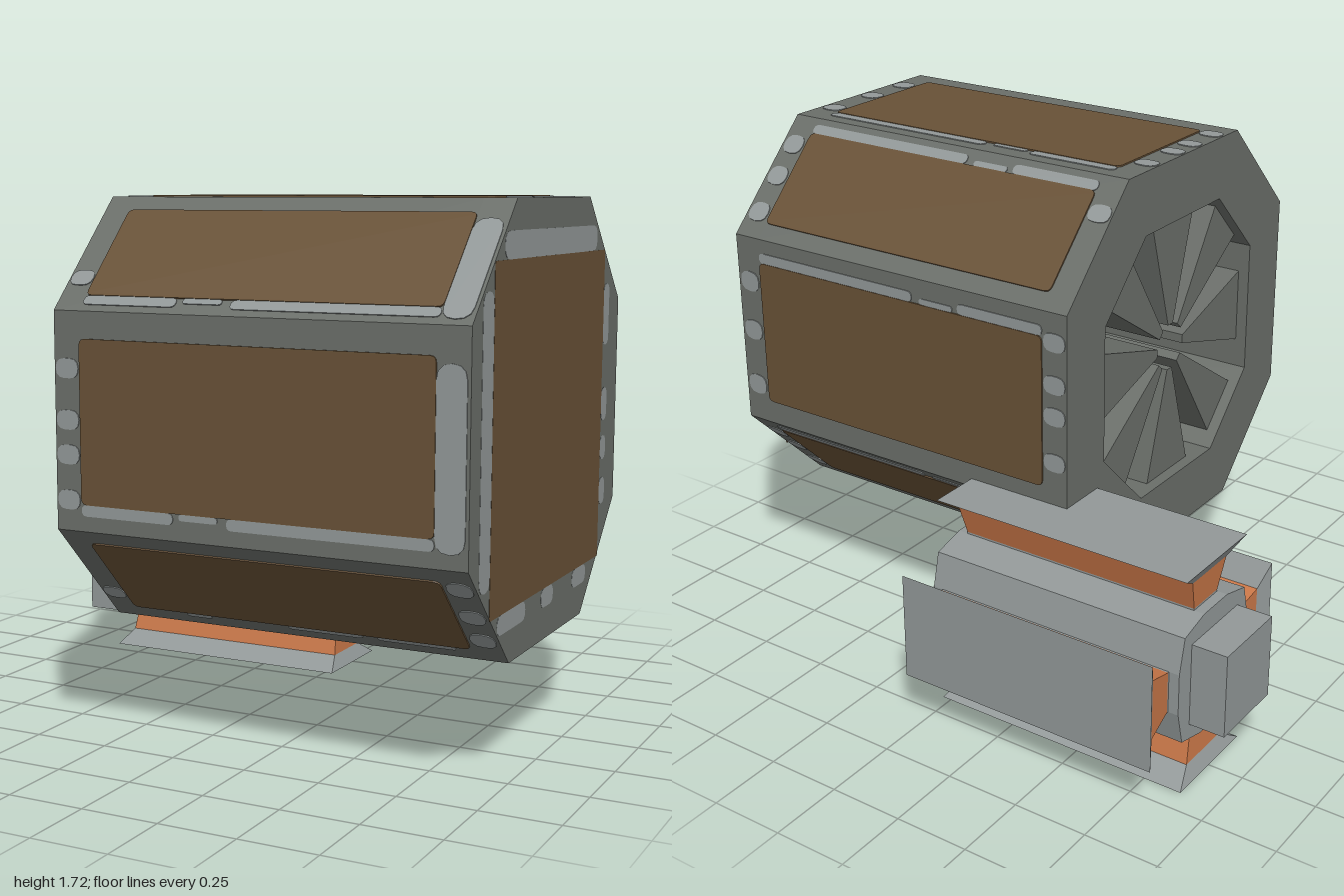
import * as THREE from 'three';

const mat = (name, color) => {
  const m = new THREE.MeshStandardMaterial({ color });
  m.name = name;
  return m;
};

export function createModel() {
  const steel = mat('light steel', 0x929898);
  const darkSteel = mat('dark steel', 0x6a6e69);
  const brown = mat('brown paint', 0x685136);
  const copper = mat('copper winding', 0xc97748);

  const add = (parent, name, geo, material) => {
    const mesh = new THREE.Mesh(geo, material);
    mesh.name = name;
    parent.add(mesh);
    return mesh;
  };
  const polygon = (pts) => new THREE.Shape(pts.map(([x, y]) => new THREE.Vector2(x, y)));
  // Prism running along x between x0 and x1
  const prism = (shape, x0, x1) => {
    const g = new THREE.ExtrudeGeometry(shape, { depth: x1 - x0, bevelEnabled: false });
    return g.rotateY(Math.PI / 2).translate(x0, 0, 0);
  };
  const octagon = (r) => {
    const c = r / 2;
    return [[r, -c], [r, c], [c, r], [-c, r], [-r, c], [-r, -c], [-c, -r], [c, -r]];
  };
  // Thin painted plate with rounded corners lying on a local z = 0 face
  const plate = (parent, name, x0, x1, y0, y1, radius, material) => {
    const s = new THREE.Shape();
    const r = Math.min(radius, (x1 - x0) / 2.01, (y1 - y0) / 2.01);
    s.moveTo(x0 + r, y0).lineTo(x1 - r, y0);
    s.quadraticCurveTo(x1, y0, x1, y0 + r).lineTo(x1, y1 - r);
    s.quadraticCurveTo(x1, y1, x1 - r, y1).lineTo(x0 + r, y1);
    s.quadraticCurveTo(x0, y1, x0, y1 - r).lineTo(x0, y0 + r);
    s.quadraticCurveTo(x0, y0, x0 + r, y0);
    const depth = material === brown ? 0.005 : 0.003;
    add(parent, name, new THREE.ExtrudeGeometry(s, { depth, bevelEnabled: false, curveSegments: 3 }), material);
  };

  const model = new THREE.Group();
  model.name = 'motor';

  // Octagonal housing: open at -x, closed at +x
  const housing = new THREE.Group();
  housing.name = 'housing';
  housing.position.set(0, 1.04, 0.18);
  model.add(housing);
  const ring = polygon(octagon(0.67));
  ring.holes.push(new THREE.Path(octagon(0.46).reverse().map(([x, y]) => new THREE.Vector2(x, y))));
  add(housing, 'housingShell', prism(ring, -0.34, 0.9), darkSteel);
  add(housing, 'housingEndWall', prism(polygon(octagon(0.67)), 0.9, 1), darkSteel);

  // Wedge teeth pointing to the axis inside the opening
  for (let k = 0; k < 8; k++) {
    const rim = k % 2 ? 0.49 : 0.465;
    const w = k % 2 ? 0.1 : 0.13;
    const tooth = polygon([[-0.015, 0.08], [0.015, 0.08], [w, rim], [-w, rim]]);
    const mesh = add(housing, 'statorTooth', prism(tooth, -0.3, 0.9), darkSteel);
    mesh.rotation.x = k * Math.PI / 4;
  }

  // Painted panels and worn edges on the eight sides
  for (let k = 0; k < 8; k++) {
    const pivot = new THREE.Group();
    pivot.name = 'housingSide';
    pivot.rotation.x = k * Math.PI / 4;
    housing.add(pivot);
    const side = new THREE.Group();
    side.name = 'sidePaint';
    side.position.z = k % 2 ? 0.7106 : 0.67;
    pivot.add(side);
    const h = k % 2 ? 0.177 : 0.252;
    plate(side, 'sidePanel', -0.25, 0.9, -h, h, 0.02, brown);
    const flip = k === 6 ? -1 : 1;
    const strip = (x0, x1, t) => {
      const a = -flip * (h + t), b = -flip * h;
      plate(side, 'wornStrip', x0, x1, Math.min(a, b), Math.max(a, b), 0.03, steel);
    };
    if (k === 1) {
      strip(-0.06, 0.03, 0.02); strip(0.3, 0.55, 0.02); strip(0.6, 0.85, 0.02);
    } else {
      strip(-0.25, 0.07, 0.035); strip(0.09, 0.22, 0.02); strip(0.25, 0.9, 0.035);
    }
    if (k === 0 || k === 7) plate(side, 'wornEnd', 0.9, 0.99, -h - 0.04, h - 0.02, 0.05, steel);
    else for (const y of [-0.7, 0, 0.8]) plate(side, 'wornChip', 0.91, 0.99, y * h - 0.035, y * h + 0.035, 0.04, steel);
    const chips = k % 2 ? [-0.6] : [-0.95, -0.4, 0.02, 0.64];
    for (const y of chips) plate(side, 'wornChip', -0.335, -0.255, y * h - 0.03, y * h + 0.03, 0.03, steel);
  }

  // Closed end: square painted panel with worn surround
  const end = new THREE.Group();
  end.name = 'endPaint';
  end.position.x = 1;
  end.rotation.y = Math.PI / 2;
  end.scale.z = 0.2;
  housing.add(end);
  plate(end, 'endPanel', -0.505, 0.505, -0.51, 0.5, 0.008, brown);
  plate(end, 'wornStrip', -0.43, 0.42, 0.5, 0.58, 0.04, steel);
  plate(end, 'wornStrip', -0.59, -0.505, -0.42, 0.42, 0.04, steel);
  for (const [a, b] of [[-0.44, -0.2], [-0.06, 0.055], [0.24, 0.38]])
    plate(end, 'wornChip', a, b, -0.57, -0.51, 0.03, steel);
  for (const [a, b] of [[-0.34, -0.25], [-0.19, -0.11], [-0.06, 0.05], [0.19, 0.39]])
    plate(end, 'wornChip', 0.505, 0.565, a, b, 0.03, steel);

  // Rotor lying beside the housing
  const rotor = new THREE.Group();
  rotor.name = 'rotor';
  rotor.position.set(0, 0.3665, -0.4945);
  rotor.scale.z = 0.976;
  model.add(rotor);
  const corners = [];
  for (let k = 0; k < 4; k++) {
    const c = Math.round(Math.cos(k * Math.PI / 2)), s = Math.round(Math.sin(k * Math.PI / 2));
    for (const [x, y] of [[0.21, -0.07], [0.21, 0.07], [0.182, 0.182]])
      corners.push([x * c - y * s, x * s + y * c]);
  }
  add(rotor, 'rotorCore', prism(polygon(corners), -0.88, 0.03), steel);
  add(rotor, 'rotorShaft', new THREE.BoxGeometry(0.12, 0.28, 0.28).translate(-0.94, 0, 0), steel);

  // Block between two rectangles, each given as [y, x0, x1, halfWidth]
  const taper = (lower, upper) => {
    const g = new THREE.BoxGeometry(1, 1, 1);
    const p = g.attributes.position;
    for (let i = 0; i < p.count; i++) {
      const [y, x0, x1, w] = p.getY(i) < 0 ? lower : upper;
      p.setXYZ(i, p.getX(i) < 0 ? x0 : x1, y, Math.sign(p.getZ(i)) * w);
    }
    g.computeVertexNormals();
    return g;
  };
  // Four wound poles with flared shoes
  for (let k = 0; k < 4; k++) {
    const pole = new THREE.Group();
    pole.name = 'rotorPole';
    pole.rotation.x = k * Math.PI / 2;
    rotor.add(pole);
    add(pole, 'poleBase', taper([0.17, -0.845, -0.005, 0.07], [0.216, -0.845, -0.005, 0.07]), steel);
    add(pole, 'poleWinding', taper([0.216, -0.845, -0.005, 0.07], [0.32, -0.855, 0.005, 0.102]), copper);
    add(pole, 'poleShoe', taper([0.32, -0.855, 0.005, 0.102], [0.3665, -0.88, 0.03, 0.181]), steel);
  }
  return model;
}
